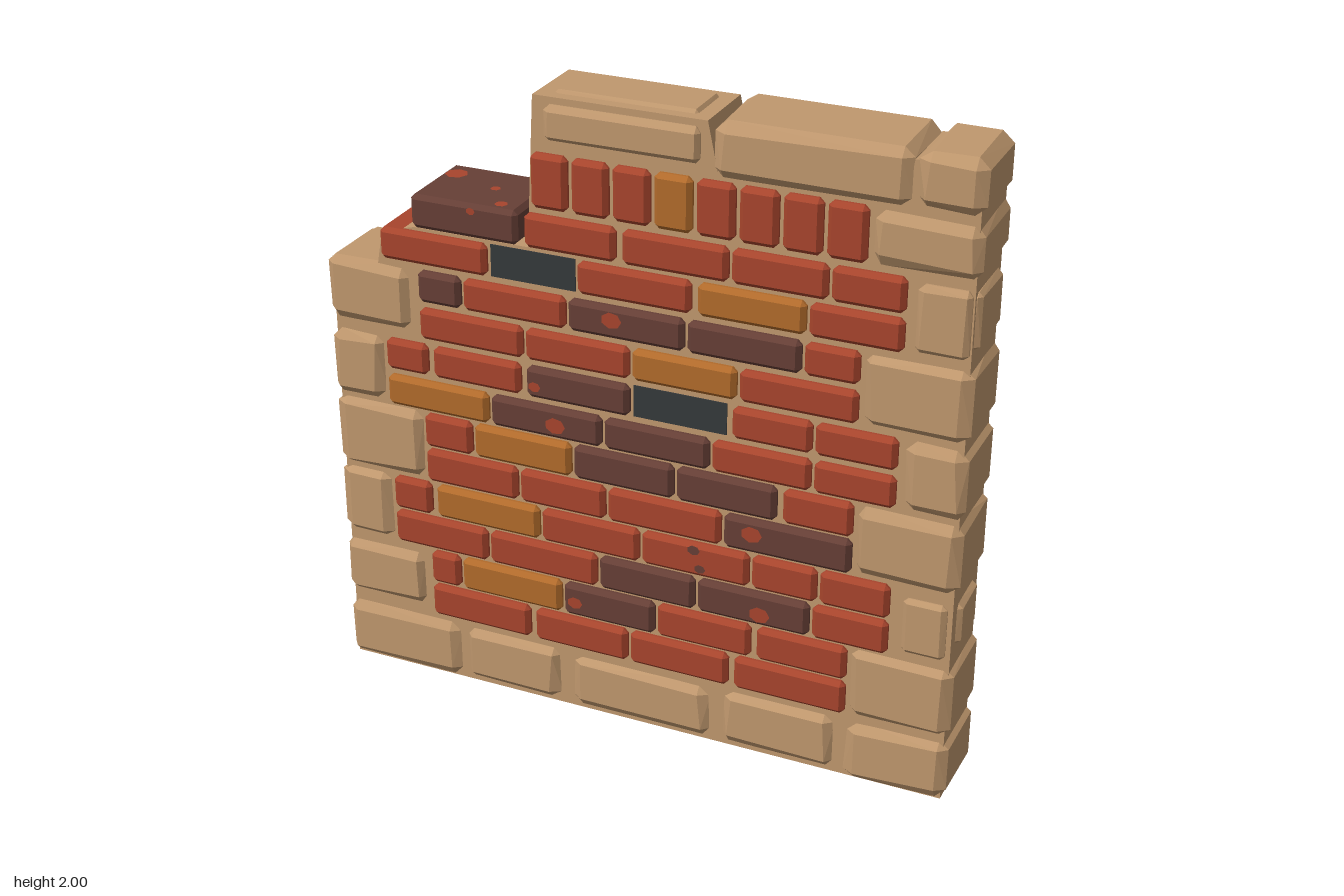
import * as THREE from 'three';
import { ConvexGeometry } from 'three/addons/geometries/ConvexGeometry.js';

const mat = (name, color) => {
  const m = new THREE.MeshStandardMaterial({ color });
  m.name = name;
  return m;
};

// small seeded generator for irregular stones
let seed = 7;
const rand = () => (seed = (seed * 16807) % 2147483647) / 2147483647;

// box with all edges chamfered; wobble pulls each corner slightly inwards
function chamferBox(x0, x1, y0, y1, z0, z1, c, wobble = 0) {
  const pts = [];
  for (const sx of [0, 1]) for (const sy of [0, 1]) for (const sz of [0, 1]) {
    const x = sx ? x1 : x0, y = sy ? y1 : y0, z = sz ? z1 : z0;
    const dx = sx ? -1 : 1, dy = sy ? -1 : 1, dz = sz ? -1 : 1;
    const a = c + wobble * rand(), b = c + wobble * rand(), d = c + wobble * 0.4 * rand();
    pts.push(
      new THREE.Vector3(x, y + dy * b, z + dz * d),
      new THREE.Vector3(x + dx * a, y, z + dz * d),
      new THREE.Vector3(x + dx * a, y + dy * b, z));
  }
  return new ConvexGeometry(pts);
}

export function createModel() {
  seed = 7;
  const stone = mat('sandstone', 0xc0986e);
  const M = {
    R: mat('red brick', 0xa8452d),
    O: mat('ochre brick', 0xb26b2b),
    D: mat('dark brick', 0x663f36),
    V: mat('dark gap', 0x35393b),
  };
  const wall = new THREE.Group();
  wall.name = 'ruinedWall';
  const add = (parent, name, geo, m) => {
    const mesh = new THREE.Mesh(geo, m);
    mesh.name = name;
    parent.add(mesh);
    return mesh;
  };
  const group = (name) => {
    const g = new THREE.Group();
    g.name = name;
    wall.add(g);
    return g;
  };

  // mortar core with the stepped broken edge
  const outline = [[-0.985, 0], [0.985, 0], [0.985, 1.97], [0.8, 1.97], [0.78, 1.85], [0.25, 1.85],
    [0.22, 1.99], [-0.305, 1.99], [-0.33, 1.53], [-0.7, 1.53], [-0.81, 1.5], [-0.83, 1.39], [-0.985, 1.39]];
  const core = new THREE.ExtrudeGeometry(
    new THREE.Shape(outline.map((p) => new THREE.Vector2(...p))), { depth: 0.232, bevelEnabled: false });
  core.translate(0, 0, -0.116);
  add(wall, 'mortarCore', core, stone);

  // brick courses: bottom, top, then [colour, left, right]
  const courses = [
    [0.22, 0.33, 'R', -0.69, -0.35, 'R', -0.33, -0.02, 'R', -0.01, 0.31, 'R', 0.33, 0.68],
    [0.34, 0.45, 'R', -0.69, -0.59, 'O', -0.58, -0.24, 'D', -0.23, 0.07, 'R', 0.08, 0.38, 'R', 0.4, 0.68],
    [0.46, 0.57, 'R', -0.81, -0.49, 'R', -0.48, -0.12, 'D', -0.11, 0.2, 'D', 0.21, 0.56, 'R', 0.57, 0.8],
    [0.58, 0.69, 'R', -0.81, -0.68, 'O', -0.66, -0.31, 'R', -0.3, 0.02, 'R', 0.03, 0.37, 'R', 0.38, 0.58, 'R', 0.59, 0.8],
    [0.7, 0.81, 'R', -0.69, -0.38, 'R', -0.37, -0.09, 'R', -0.08, 0.28, 'D', 0.29, 0.68],
    [0.82, 0.93, 'R', -0.69, -0.53, 'O', -0.52, -0.2, 'D', -0.19, 0.13, 'D', 0.14, 0.45, 'R', 0.47, 0.68],
    [0.94, 1.04, 'O', -0.81, -0.47, 'D', -0.46, -0.1, 'D', -0.09, 0.24, 'R', 0.25, 0.55, 'R', 0.56, 0.8],
    [1.06, 1.16, 'R', -0.81, -0.67, 'R', -0.65, -0.36, 'D', -0.34, -0.01, 'V', 0, 0.29, 'R', 0.31, 0.55, 'R', 0.56, 0.8],
    [1.18, 1.28, 'R', -0.69, -0.35, 'R', -0.34, -0.01, 'O', 0, 0.32, 'R', 0.33, 0.68],
    [1.3, 1.4, 'D', -0.69, -0.55, 'R', -0.54, -0.21, 'D', -0.2, 0.16, 'D', 0.17, 0.51, 'R', 0.52, 0.68],
    [1.42, 1.52, 'R', -0.81, -0.46, 'V', -0.45, -0.18, 'R', -0.17, 0.18, 'O', 0.2, 0.52, 'R', 0.53, 0.8],
    [1.535, 1.64, 'D', -0.7, -0.355, 'R', -0.335, -0.05, 'R', -0.03, 0.29, 'R', 0.3, 0.58, 'R', 0.59, 0.8],
  ];
  // upright bricks under the coping
  const soldiers = [1.66, 1.825];
  for (let i = 0; i < 8; i++) soldiers.push(i === 3 ? 'O' : 'R', -0.31 + i * 0.126, -0.197 + i * 0.126);
  courses.push(soldiers);

  courses.forEach(([y0, y1, ...cells], row) => {
    const g = group('brickCourse' + (row + 1));
    for (let i = 0; i < cells.length; i += 3) {
      const [k, x0, x1] = cells.slice(i, i + 3);
      if (k === 'V') {
        const gap = new THREE.BoxGeometry(x1 - x0, y1 - y0, 0.238);
        gap.translate((x0 + x1) / 2, (y0 + y1) / 2, 0);
        add(g, 'missingBrick', gap, M.V);
      } else {
        add(g, 'brick', chamferBox(x0, x1, y0, y1, -0.138, 0.138, 0.014), M[k]);
      }
    }
  });

  // stones: left, right, bottom, top
  const stones = group('borderStones');
  [
    // footing
    [-1, -0.6, 0, 0.2], [-0.58, -0.25, 0.01, 0.2], [-0.21, 0.25, 0.01, 0.19],
    [0.29, 0.65, 0.01, 0.2], [0.68, 1, 0, 0.2],
    // left edge
    [-1, -0.72, 0.24, 0.43], [-1, -0.82, 0.46, 0.69], [-1, -0.7, 0.7, 0.93],
    [-1, -0.82, 0.94, 1.16], [-1, -0.72, 1.19, 1.4],
    // right edge
    [0.69, 1, 0.22, 0.45], [0.69, 1, 0.7, 0.93], [0.82, 1, 0.94, 1.16],
    [0.69, 1, 1.18, 1.4], [0.7, 1, 1.66, 1.82],
    // coping
    [0.24, 0.8, 1.835, 2], [0.81, 1, 1.84, 2],
  ].forEach(([x0, x1, y0, y1]) =>
    add(stones, 'stone', chamferBox(x0, x1, y0, y1, -0.136, 0.136, 0.02, 0.018), stone));

  // worn stones that only stand out as small raised panels
  [
    [0.84, 0.97, 0.48, 0.66, 0.132], [0.88, 1, 0.51, 0.65, 0.08],
    [0.83, 0.98, 1.43, 1.63, 0.134], [0.88, 1, 1.45, 1.62, 0.105],
    [-0.27, 0.2, 1.865, 1.97, 0.134], [-0.26, 0.18, 1.88, 2, 0.085],
  ].forEach(([x0, x1, y0, y1, z]) =>
    add(stones, 'wornStone', chamferBox(x0, x1, y0, y1, -z, z, 0.012, 0.008), stone));

  // colour flecks on both faces: colour, x, y, radius
  const flecks = group('flecks');
  [
    ['R', -0.06, 1.36, 0.032], ['R', 0.38, 0.765, 0.033], ['R', -0.245, 0.985, 0.033],
    ['R', 0.41, 0.5, 0.033], ['R', -0.19, 0.39, 0.025], ['R', -0.31, 1.1, 0.02],
    ['R', -0.5, 1.62, 0.014], ['D', 0.2, 0.67, 0.02], ['D', 0.22, 0.61, 0.018],
  ].forEach(([k, x, y, r]) => {
    for (const side of [1, -1]) {
      const geo = new THREE.CircleGeometry(r, 7);
      geo.scale(1, 0.8, 1);
      const f = add(flecks, 'fleck', geo, M[k]);
      f.position.set(x, y, side * 0.1395);
      if (side < 0) f.rotation.y = Math.PI;
    }
  });
  // flecks on the exposed top brick
  [[-0.65, -0.06, 0.035], [-0.49, 0, 0.016], [-0.42, 0.1, 0.02]].forEach(([x, z, r]) => {
    const f = add(flecks, 'topFleck', new THREE.CircleGeometry(r, 7), M.R);
    f.position.set(x, 1.642, z);
    f.rotation.x = -Math.PI / 2;
  });

  return wall;
}
